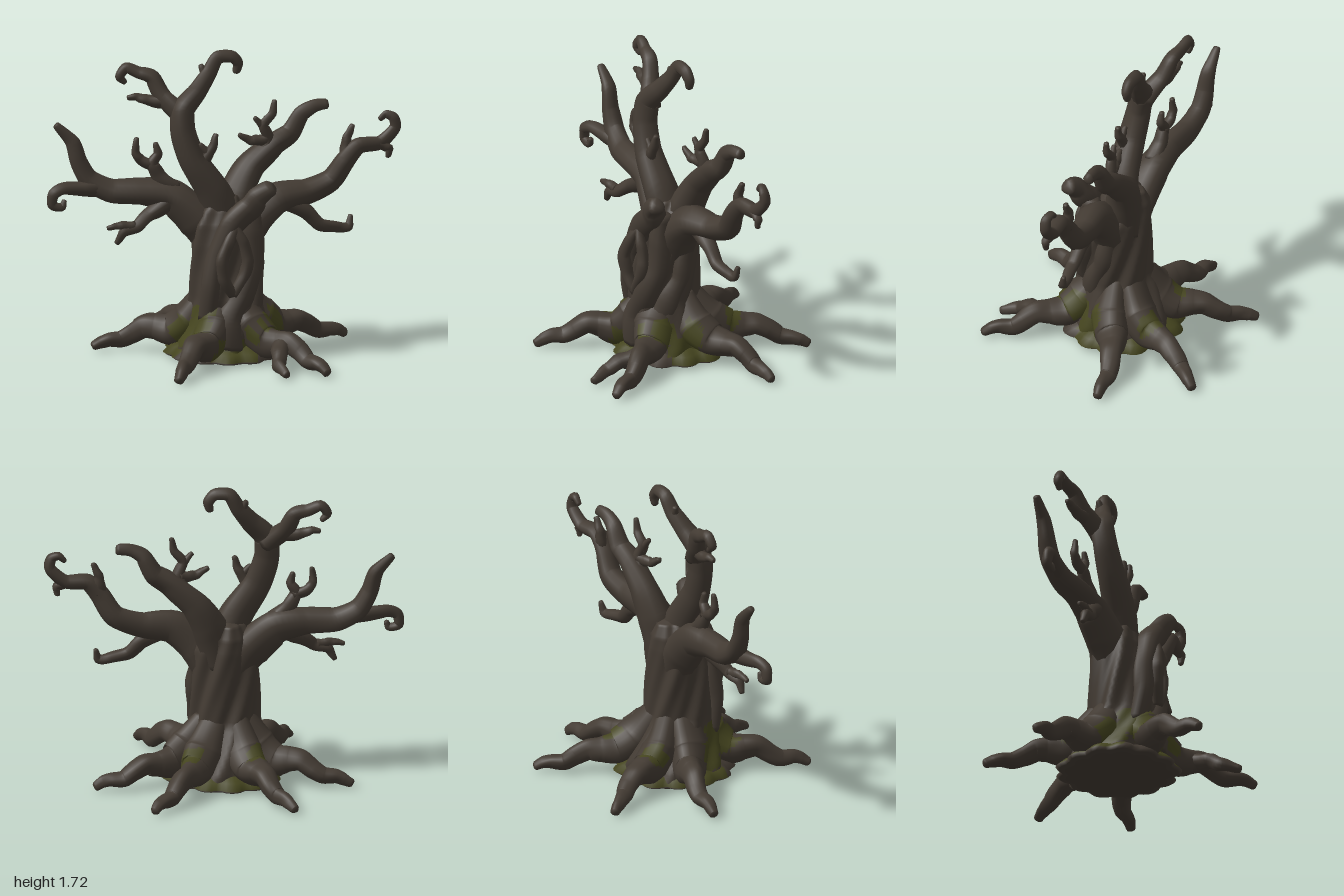
import * as THREE from 'three';

const bark = new THREE.MeshStandardMaterial({ color: 0x433b33 });
bark.name = 'bark';
const moss = new THREE.MeshStandardMaterial({ color: 0x45451f });
moss.name = 'moss';

// Mossy spots as spheres: x, y, z, radius
const spots = [
  [-0.18, 0.23, 0.18, 0.115], [0.14, 0.18, 0.24, 0.08], [0.19, 0.2, -0.26, 0.075], [-0.17, 0.2, -0.24, 0.075],
  [0.21, 0.22, 0.18, 0.085], [0.25, 0.2, 0, 0.075], [-0.27, 0.16, 0.08, 0.09], [0, 0.07, 0.31, 0.115], [0.28, 0.08, 0.08, 0.1],
];
const onSpot = c => spots.some(([x, y, z, r]) =>
  Math.hypot(c.x - x, c.y - y, c.z - z) < r * (1 + 0.15 * Math.sin(c.x * 60 + c.y * 45)));

// Smooth closed skin over rings of points; faces chosen by isMoss get the moss material
function loft(name, rings, isMoss = () => false) {
  const n = rings[0].length, pts = rings.flat(), faces = [[], []];
  const last = (rings.length - 1) * n;
  const add = (...f) => {
    const c = new THREE.Vector3();
    f.forEach(i => c.addScaledVector(pts[i], 1 / 3));
    faces[isMoss(c) ? 1 : 0].push(...f);
  };
  const centre = ring => ring.reduce((s, p) => s.addScaledVector(p, 1 / n), new THREE.Vector3());
  const start = pts.push(centre(rings[0])) - 1;
  const end = pts.push(centre(rings[rings.length - 1])) - 1;
  for (let j = 0; j < n; j++) {
    const k = (j + 1) % n;
    for (let i = 0; i < last; i += n) {
      add(i + j, i + k, i + n + k);
      add(i + j, i + n + k, i + n + j);
    }
    add(k, j, start);
    add(last + j, last + k, end);
  }
  const g = new THREE.BufferGeometry().setFromPoints(pts);
  g.setIndex(faces.flat());
  g.addGroup(0, faces[0].length, 0);
  g.addGroup(faces[0].length, faces[1].length, 1);
  g.computeVertexNormals();
  const mesh = new THREE.Mesh(g, [bark, moss]);
  mesh.name = name;
  return mesh;
}

// Gnarled tapering limb through points [x, y, z, radius]
function limb(name, path, sides, isMoss) {
  const curve = new THREE.CatmullRomCurve3(path.map(p => new THREE.Vector3(p[0], p[1], p[2])), false, 'catmullrom', 0.36);
  const steps = (path.length - 1) * (isMoss ? 9 : 6);
  const rings = [];
  let normal = new THREE.Vector3(0.13, 0.21, 1), p, t, r;
  const ring = (p, t, r, u) => Array.from({ length: sides }, (_, j) => {
    const a = j / sides * Math.PI * 2;
    const q = r * (1 + 0.08 * Math.sin(3 * a + u * 7) + 0.08 * Math.sin(u * 17 + a));
    const b = new THREE.Vector3().crossVectors(t, normal);
    return p.clone().addScaledVector(normal, Math.cos(a) * q).addScaledVector(b, Math.sin(a) * q);
  });
  for (let i = 0; i <= steps; i++) {
    const u = i / steps, s = u * (path.length - 1), k = Math.min(Math.floor(s), path.length - 2);
    p = curve.getPoint(u);
    t = curve.getTangent(u);
    r = THREE.MathUtils.lerp(path[k][3], path[k + 1][3], s - k);
    normal.addScaledVector(t, -normal.dot(t)).normalize();
    rings.push(ring(p, t, r, u));
  }
  rings.push(ring(p.clone().addScaledVector(t, r * 0.35), t, r * 0.65, 1));
  return loft(name, rings, isMoss);
}

// Twisting ridged trunk; rows are y, x radius, z radius, z centre
function trunk() {
  const rows = [
    [0.02, 0.29, 0.28, 0], [0.1, 0.27, 0.26, 0], [0.2, 0.23, 0.235, 0.015], [0.35, 0.187, 0.2, 0.045], [0.5, 0.187, 0.18, 0.03],
    [0.65, 0.187, 0.17, 0.02], [0.77, 0.185, 0.155, 0.005], [0.85, 0.155, 0.135, -0.01], [0.92, 0.1, 0.1, -0.02], [0.94, 0.04, 0.04, -0.02],
  ];
  const sides = 72, rings = [];
  for (let i = 0; i < rows.length - 1; i++) {
    for (let s = 0; s < 6; s++) {
      const [y, rx, rz, cz] = rows[i].map((v, k) => THREE.MathUtils.lerp(v, rows[i + 1][k], s / 6));
      rings.push(Array.from({ length: sides }, (_, j) => {
        const a = j / sides * Math.PI * 2, w = a - y * 1.9;
        const f = 1 + 0.06 * Math.sin(6 * w) + 0.03 * Math.sin(11 * w + 1);
        return new THREE.Vector3(Math.cos(a) * rx * f - 0.005, y, cz - Math.sin(a) * rz * f);
      }));
    }
  }
  return loft('trunk', rings, onSpot);
}

// Low scalloped mound under the roots, mossy on top between the front roots and round the sides
function mound() {
  const rows = [[0.012, 0.12], [0.02, 0.22], [0.012, 0.29], [0.02, 0.33], [0.034, 0.35], [0.07, 0.31], [0.115, 0.22]];
  return loft('mossMound', rows.map(([y, r]) => Array.from({ length: 72 }, (_, j) => {
    const a = j / 72 * Math.PI * 2;
    const f = r * (0.9 + 0.1 * Math.abs(Math.sin(a * 6.5)) + 0.02 * Math.sin(a * 4));
    return new THREE.Vector3(Math.cos(a) * f, y, -Math.sin(a) * f);
  })), c => c.y > 0.03 && !(c.z > 0.15 && Math.abs(c.x) > 0.13));
}

// Root that humps twice on its way from the trunk foot to a tip on the ground
function root(x, z, bend) {
  const rows = [
    [0.12, 0.36, 0.075], [0.26, 0.21, 0.108], [0.4, 0.135, 0.092], [0.52, 0.14, 0.07], [0.61, 0.143, 0.06],
    [0.7, 0.105, 0.054], [0.78, 0.07, 0.047], [0.87, 0.068, 0.039], [0.93, 0.055, 0.034], [0.985, 0.032, 0.025],
  ];
  return limb('root', rows.map(([f, y, r]) => {
    const s = bend * Math.sin(f * 7);
    return [x * f - z * s, y, z * f + x * s, r];
  }), 16, onSpot);
}

const branches = {
  leftUpperLimb: [[0.02, 0.7, -0.03, 0.1], [0.09, 0.9, -0.06, 0.1], [0.17, 1.06, -0.08, 0.078], [0.29, 1.17, -0.09, 0.066], [0.39, 1.23, -0.09, 0.058], [0.45, 1.34, -0.09, 0.045], [0.52, 1.375, -0.09, 0.036], [0.595, 1.385, -0.09, 0.03]],
  leftUpperTwig: [[0.22, 1.1, -0.08, 0.05], [0.26, 1.2, -0.06, 0.034], [0.23, 1.29, -0.05, 0.028], [0.28, 1.36, -0.05, 0.023], [0.295, 1.43, -0.05, 0.014]],
  leftUpperTwigFork: [[0.25, 1.21, -0.06, 0.034], [0.16, 1.21, -0.04, 0.027], [0.09, 1.25, -0.03, 0.014]],
  leftUpperTwigSpur: [[0.23, 1.28, -0.05, 0.026], [0.18, 1.34, -0.04, 0.013]],
  leftLimb: [[0.05, 0.6, 0.01, 0.1], [0.15, 0.77, 0.03, 0.11], [0.29, 0.88, 0.035, 0.092], [0.46, 0.91, 0.01, 0.07], [0.6, 0.97, -0.01, 0.062], [0.68, 1.08, 0, 0.056], [0.76, 1.16, 0, 0.046], [0.88, 1.17, -0.01, 0.039], [0.965, 1.25, -0.02, 0.032], [0.96, 1.31, -0.02, 0.028], [0.92, 1.33, -0.03, 0.022], [0.885, 1.3, -0.03, 0.014]],
  leftLimbTwig: [[0.69, 1.1, -0.01, 0.036], [0.695, 1.2, -0.02, 0.027], [0.73, 1.275, -0.02, 0.015]],
  leftLimbSpur: [[0.86, 1.17, -0.01, 0.032], [0.93, 1.14, 0, 0.024], [0.925, 1.09, 0, 0.014]],
  leftHangingTwig: [[0.33, 0.88, 0.02, 0.055], [0.46, 0.8, 0.03, 0.042], [0.54, 0.73, 0.03, 0.036], [0.64, 0.705, 0.02, 0.03], [0.7, 0.705, 0.01, 0.025], [0.715, 0.765, 0, 0.013]],
  rightUpperLimb: [[0.02, 0.72, 0, 0.11], [-0.07, 0.96, 0.025, 0.095], [-0.18, 1.14, 0.035, 0.077], [-0.24, 1.3, 0.025, 0.068], [-0.24, 1.42, 0, 0.066], [-0.15, 1.51, -0.03, 0.055], [-0.08, 1.6, -0.055, 0.045], [-0.03, 1.69, -0.07, 0.037], [0.05, 1.692, -0.07, 0.034], [0.085, 1.65, -0.07, 0.03], [0.08, 1.6, -0.07, 0.02]],
  rightUpperSpur: [[-0.09, 1.56, -0.05, 0.035], [-0.12, 1.65, -0.07, 0.015]],
  rightUpperFork: [[-0.24, 1.38, -0.01, 0.058], [-0.33, 1.48, -0.07, 0.05], [-0.39, 1.58, -0.1, 0.042], [-0.46, 1.61, -0.12, 0.035], [-0.53, 1.64, -0.13, 0.03], [-0.57, 1.59, -0.13, 0.025], [-0.54, 1.555, -0.13, 0.015]],
  rightForkTwig: [[-0.31, 1.45, -0.06, 0.04], [-0.42, 1.46, -0.08, 0.03], [-0.48, 1.48, -0.09, 0.023], [-0.53, 1.48, -0.09, 0.014]],
  innerTwig: [[-0.19, 1.08, 0.02, 0.05], [-0.13, 1.13, 0.05, 0.032], [-0.08, 1.21, 0.06, 0.026], [-0.06, 1.28, 0.06, 0.015]],
  innerTwigSpur: [[-0.1, 1.17, 0.06, 0.026], [-0.15, 1.23, 0.06, 0.013]],
  rightLimb: [[-0.04, 0.6, -0.02, 0.095], [-0.14, 0.78, -0.03, 0.115], [-0.28, 0.91, -0.045, 0.096], [-0.45, 0.935, -0.055, 0.077], [-0.62, 0.95, -0.075, 0.068], [-0.75, 1.02, -0.09, 0.057], [-0.81, 1.12, -0.1, 0.048], [-0.84, 1.24, -0.11, 0.04], [-0.93, 1.335, -0.11, 0.021]],
  rightLimbCurl: [[-0.67, 0.96, -0.08, 0.045], [-0.78, 0.98, -0.06, 0.043], [-0.9, 0.985, -0.04, 0.035], [-0.965, 0.96, -0.03, 0.031], [-0.97, 0.9, -0.03, 0.027], [-0.915, 0.885, -0.03, 0.022], [-0.9, 0.92, -0.03, 0.014]],
  rightHangingTwig: [[-0.3, 0.9, -0.03, 0.06], [-0.42, 0.83, 0, 0.04], [-0.5, 0.77, 0.03, 0.034], [-0.58, 0.74, 0.04, 0.028], [-0.62, 0.68, 0.04, 0.015]],
  rightHangingSpur: [[-0.52, 0.77, 0.03, 0.03], [-0.6, 0.78, 0.04, 0.022], [-0.67, 0.77, 0.04, 0.013]],
  rightRisingTwig: [[-0.28, 0.95, -0.05, 0.05], [-0.36, 1.03, -0.05, 0.042], [-0.4, 1.1, -0.05, 0.033], [-0.37, 1.16, -0.05, 0.025], [-0.38, 1.22, -0.05, 0.014]],
  rightRisingFork: [[-0.39, 1.09, -0.05, 0.032], [-0.47, 1.13, -0.06, 0.028], [-0.495, 1.18, -0.06, 0.023], [-0.485, 1.25, -0.06, 0.014]],
  // strands wrapping the front of the trunk, parted around a hollow
  frontStub: [[-0.13, 0.25, 0.16, 0.055], [-0.11, 0.45, 0.195, 0.055], [-0.08, 0.62, 0.19, 0.057], [0, 0.78, 0.18, 0.068], [0.1, 0.88, 0.18, 0.07], [0.15, 0.95, 0.2, 0.06], [0.22, 1, 0.23, 0.046]],
  frontStrand: [[-0.03, 0.1, 0.19, 0.1], [-0.01, 0.26, 0.2, 0.085], [0.06, 0.4, 0.195, 0.07], [0.12, 0.55, 0.16, 0.066], [0.12, 0.73, 0.14, 0.066], [0.13, 0.88, 0.13, 0.055]],
  sideStrand: [[0.08, 0.15, 0.17, 0.09], [0.12, 0.33, 0.11, 0.07], [0.155, 0.5, 0.04, 0.056], [0.14, 0.68, 0, 0.06]],
  hollowRimLeft: [[0, 0.4, 0.235, 0.027], [-0.05, 0.5, 0.255, 0.035], [-0.065, 0.6, 0.26, 0.036], [-0.03, 0.7, 0.25, 0.032], [0.02, 0.79, 0.22, 0.022]],
  hollowRimRight: [[0, 0.4, 0.235, 0.027], [0.06, 0.5, 0.24, 0.032], [0.085, 0.6, 0.23, 0.034], [0.06, 0.7, 0.23, 0.03], [0.02, 0.79, 0.22, 0.022]],
};

export function createModel() {
  const tree = new THREE.Group();
  tree.name = 'gnarledTree';
  tree.add(trunk(), mound());
  for (const [name, path] of Object.entries(branches)) tree.add(limb(name, path, 12));

  const roots = new THREE.Group();
  roots.name = 'roots';
  const tips = [[0.73, -0.23, 0.03], [-0.71, -0.22, -0.03], [0.41, -0.66, 0.02], [-0.37, -0.66, -0.02], [0.47, 0.64, 0.02], [-0.4, 0.65, -0.02]];
  tips.forEach(([x, z, bend]) => roots.add(root(x, z, bend)));
  roots.add(limb('rootFork', [[0.25, 0.13, 0.36, 0.055], [0.22, 0.11, 0.46, 0.045], [0.2, 0.065, 0.54, 0.038], [0.225, 0.035, 0.64, 0.023]], 12));
  tree.add(roots);
  return tree;
}
